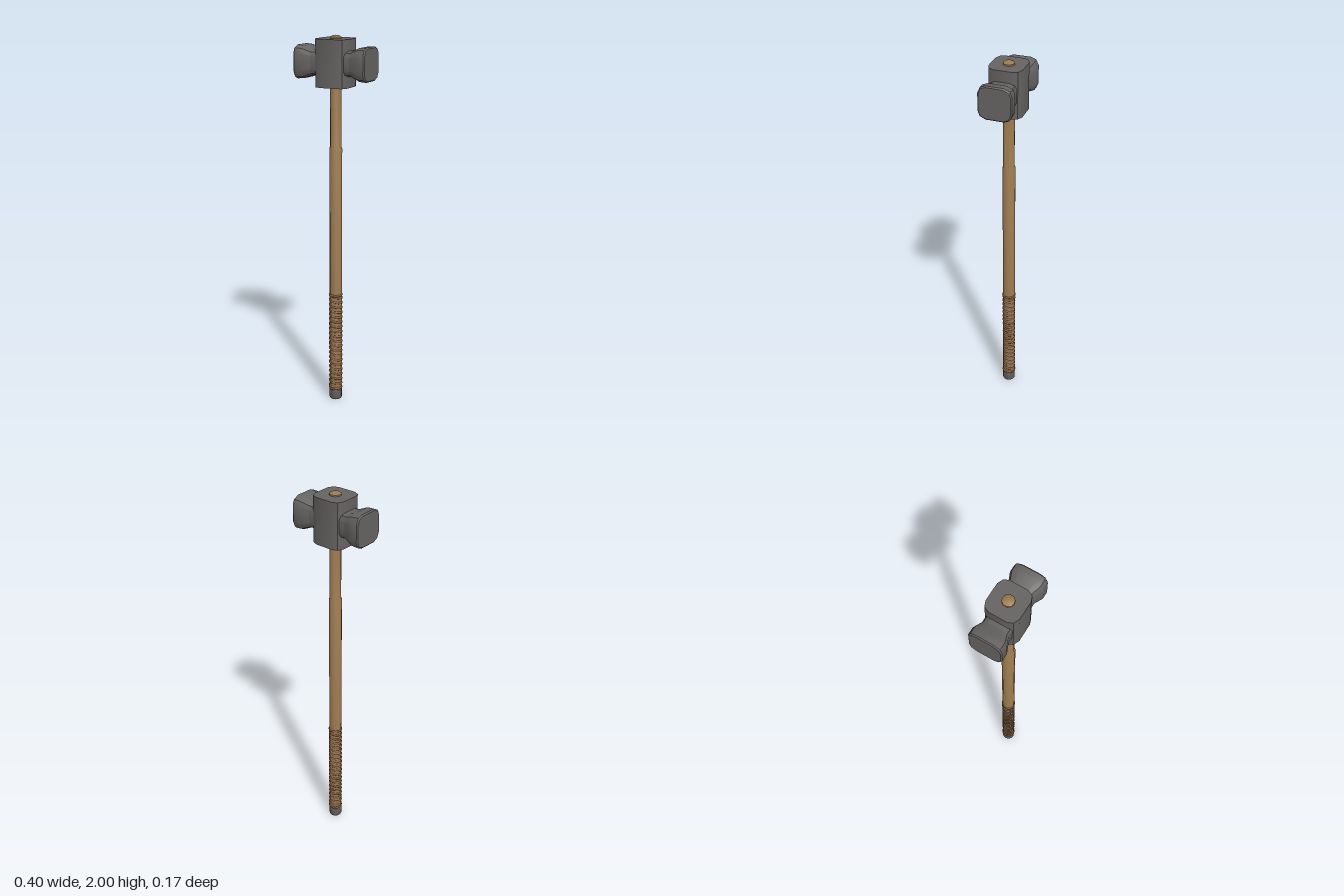
import * as THREE from 'three';
import { toCreasedNormals } from 'three/addons/utils/BufferGeometryUtils.js';

const steel = new THREE.MeshStandardMaterial({ color: 0x666462 });
const wood = new THREE.MeshStandardMaterial({ color: 0x9c7a4e });
const leather = new THREE.MeshStandardMaterial({ color: 0x8a6244 });

// One quarter of a rounded square, repeated by quarter turns
const corner = [[1, 0.54], [0.88, 0.84], [0.54, 1]];
const outline = [];
for (let q = 0; q < 4; q++) {
  const c = [1, 0, -1, 0][q], s = [0, 1, 0, -1][q];
  for (const [x, y] of corner) outline.push([x * c - y * s, x * s + y * c]);
}

// Loft the rounded square along +z through stations [z, halfWidth, halfHeight], with end caps
function loft(stations) {
  const n = outline.length, pos = [], idx = [];
  for (const [z, w, h] of stations) for (const [x, y] of outline) pos.push(x * w, y * h, z);
  const last = stations.length - 1;
  for (let r = 0; r < last; r++) {
    for (let i = 0; i < n; i++) {
      const a = r * n + i, b = r * n + (i + 1) % n;
      idx.push(a, b, b + n, a, b + n, a + n);
    }
  }
  for (let i = 1; i < n - 1; i++) {
    idx.push(0, i + 1, i);
    idx.push(last * n, last * n + i, last * n + i + 1);
  }
  const geo = new THREE.BufferGeometry();
  geo.setAttribute('position', new THREE.Float32BufferAttribute(pos, 3));
  geo.setIndex(idx);
  return toCreasedNormals(geo, 0.5);
}

function lathe(points, sides) {
  const geo = new THREE.LatheGeometry(points.map(([r, y]) => new THREE.Vector2(r, y)), sides);
  return toCreasedNormals(geo, 0.8);
}

function add(parent, name, geo, mat) {
  const mesh = new THREE.Mesh(geo, mat);
  mesh.name = name;
  parent.add(mesh);
  return mesh;
}

// Cord wound around the grip, a little flatter front to back
class Helix extends THREE.Curve {
  constructor(radius, y0, y1, turns) {
    super();
    Object.assign(this, { radius, y0, y1, turns });
  }
  getPoint(t, target = new THREE.Vector3()) {
    const a = t * this.turns * Math.PI * 2;
    return target.set(Math.cos(a) * this.radius, this.y0 + (this.y1 - this.y0) * t, Math.sin(a) * this.radius * 0.9);
  }
}

export function createModel() {
  const model = new THREE.Group();
  model.name = 'longHammer';

  // Stepped wooden shaft with a domed tip above the head
  add(model, 'shaft', lathe([
    [0, 0.04], [0.034, 0.04], [0.034, 1.425], [0.03, 1.435],
    [0.03, 1.99], [0.018, 1.997], [0, 2],
  ], 10), wood);

  // Steel cap at the foot
  add(model, 'footCap', lathe([
    [0, 0], [0.032, 0], [0.035, 0.006], [0.035, 0.055], [0, 0.055],
  ], 12), steel);

  // Wound grip with a closing ring at each end
  const grip = new THREE.Group();
  grip.name = 'grip';
  model.add(grip);
  add(grip, 'gripCord', new THREE.TubeGeometry(new Helix(0.031, 0.065, 0.617, 19.5), 320, 0.008, 6), leather);
  for (const y of [0.064, 0.618]) {
    const ring = add(grip, 'gripRing', new THREE.TorusGeometry(0.031, 0.007, 6, 16), leather);
    ring.rotation.x = Math.PI / 2;
    ring.position.y = y;
  }

  // Hammer head: upright centre block and two flared striking ends
  const head = new THREE.Group();
  head.name = 'head';
  head.position.y = 1.863;
  model.add(head);
  const block = add(head, 'headBlock', loft([[-0.12, 0.088, 0.085], [0.12, 0.088, 0.085]]), steel);
  block.rotation.x = -Math.PI / 2;
  const endGeo = loft([
    [0.05, 0.067, 0.063], [0.11, 0.067, 0.063], [0.156, 0.086, 0.082],
    [0.194, 0.085, 0.085], [0.2, 0.08, 0.079],
  ]);
  for (const [side, name] of [[1, 'leftStrikingEnd'], [-1, 'rightStrikingEnd']]) {
    add(head, name, endGeo, steel).rotation.y = side * Math.PI / 2;
  }
  return model;
}
